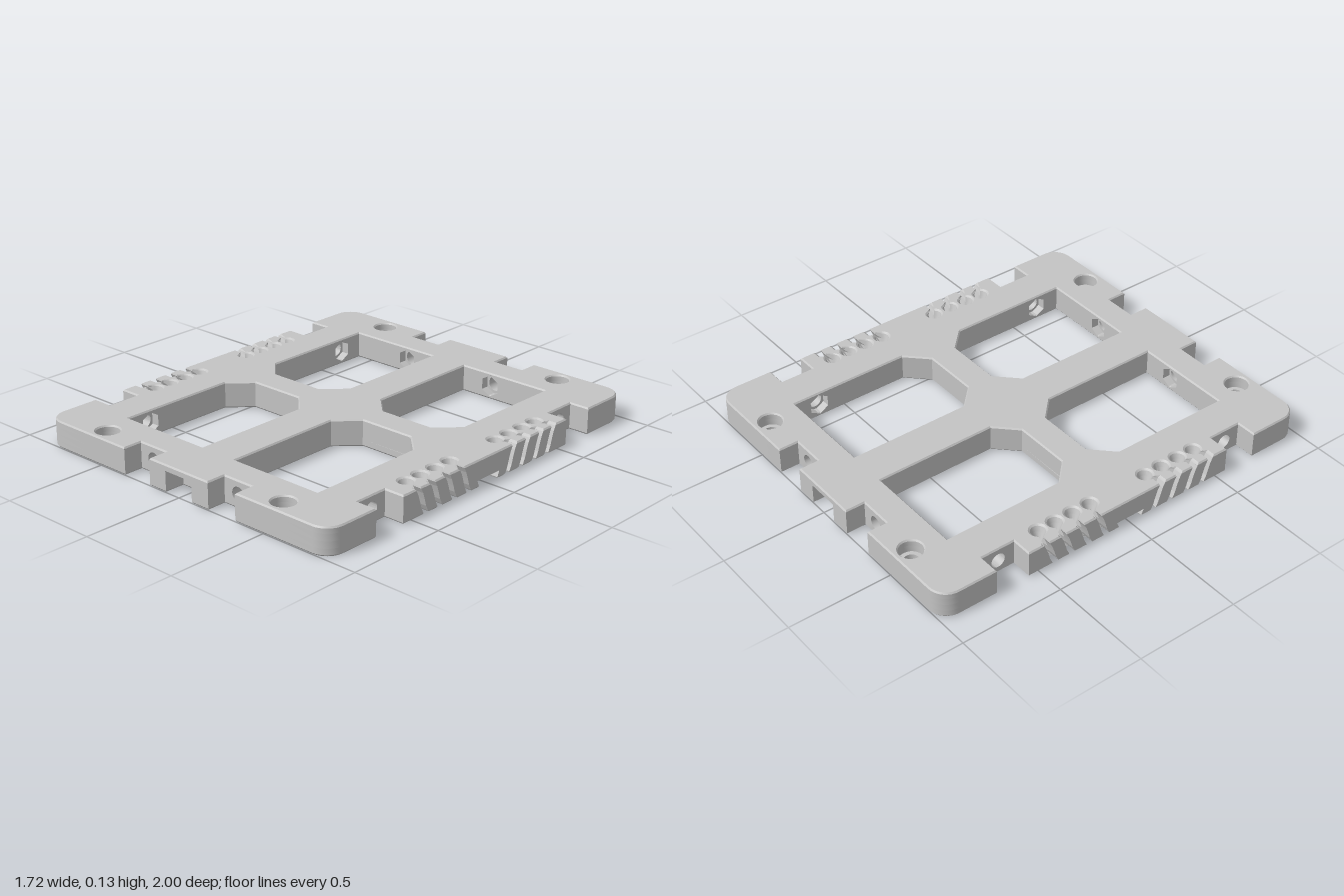
import * as THREE from 'three';
import { toCreasedNormals } from 'three/addons/utils/BufferGeometryUtils.js';

const H = 0.13;                                 // plate thickness
const W = 0.86;                                 // half width
const SLOT_Z = [0.435, 0.345, 0.25, 0.155];     // cable slots along each side
const WINDOW = [[0.10, 0.765], [0.58, 0.765], [0.58, 0.17], [0.48, 0.07], [0.20, 0.07], [0.10, 0.17]];
const SIGNS = [[1, 1], [1, -1], [-1, -1], [-1, 1]];

// Counter-clockwise closed path, so that every wall faces outward
function path(pts, Type = THREE.Shape) {
  const v = pts.map(([x, z]) => new THREE.Vector2(x, z));
  return new Type(THREE.ShapeUtils.isClockWise(v) ? v.reverse() : v);
}
const mirror = (pts, [sx, sz]) => pts.map(([x, z]) => [x * sx, z * sz]);
const arc = (cx, cz, r, a0, a1, n) => Array.from({ length: n + 1 }, (_, i) => {
  const a = a0 + (a1 - a0) * i / n;
  return [cx + r * Math.cos(a), cz + r * Math.sin(a)];
});

// Repeat one quadrant of an outline around both axes
const fullOutline = (q) => SIGNS.flatMap((s, i) => mirror(i % 2 ? [...q].reverse() : q, s));

// Keyhole slots, then the dovetail groove, down one side of a quadrant
function sidePoints(y) {
  const pts = SLOT_Z.flatMap((z) => [
    [W, z + 0.015], [0.815, z + 0.015],
    ...arc(0.77, z, 0.037, 0.6, 2 * Math.PI - 0.6, 16),
    [0.815, z - 0.015], [W, z - 0.015]]);
  if (y < 0.03) pts.push([W, 0.06], [0.62, 0.06]);
  return pts;
}
const frontPocket = (y) => (y < 0.09 ? [[0.08, 0.9], [0.08, 1]] : []);
const roundCorner = () => arc(W - 0.09, 0.91, 0.09, Math.PI / 2, 0, 8);

function screwHole(y, sign) {
  const r = y > 0.06 ? 0.055 : 0.035;
  return path(mirror(arc(0.54, 0.92, r, 0, Math.PI * 2, 24).slice(0, -1), sign), THREE.Path);
}
function addCentrePocket(shape, y) {
  if (y < 0.06) shape.holes.push(path([[-0.06, -0.16], [0.06, -0.16], [0.06, 0.16], [-0.06, 0.16]], THREE.Path));
}

// Whole plate, used for the top and bottom skins
function skinShape(y) {
  const shape = path(fullOutline([
    ...frontPocket(y), [0.18, 1], [0.18, 0.905], [0.34, 0.905], [0.34, 1], ...roundCorner(),
    [W, 0.72], [0.76, 0.72], [0.76, 0.555], [W, 0.555], ...sidePoints(y)]));
  for (const s of SIGNS) shape.holes.push(path(mirror(WINDOW, s), THREE.Path), screwHole(y, s));
  addCentrePocket(shape, y);
  return shape;
}

// Cross-shaped centre, without the drilled walls and the corners
function coreShape(y) {
  const shape = path(fullOutline([
    ...frontPocket(y), [0.18, 1], [0.18, 0.765], [0.10, 0.765], [0.10, 0.17], [0.20, 0.07],
    [0.48, 0.07], [0.58, 0.17], [0.58, 0.555], [W, 0.555], ...sidePoints(y)]));
  addCentrePocket(shape, y);
  return shape;
}

function cornerShape(y, sign) {
  const shape = path(mirror([[0.34, 0.765], [0.34, 1], ...roundCorner(),
    [W, 0.72], [0.58, 0.72], [0.58, 0.765]], sign));
  shape.holes.push(screwHole(y, sign));
  return shape;
}

// Slant the slots, waist their holes and undercut the dovetails by height
function shapeByHeight(geo) {
  const p = geo.attributes.position;
  for (let i = 0; i < p.count; i++) {
    const x = p.getX(i), y = p.getY(i), z = p.getZ(i);
    const ax = Math.abs(x), az = Math.abs(z);
    const t = 2 * y / H - 1;
    if (ax > 0.7 && az > 0.1 && az < 0.49) {
      if (ax < 0.811) {
        const c = SLOT_Z.reduce((a, b) => (Math.abs(b - az) < Math.abs(a - az) ? b : a));
        const s = 0.35 + 0.65 * Math.abs(t);
        p.setX(i, Math.sign(x) * (0.77 + (ax - 0.77) * s));
        p.setZ(i, Math.sign(z) * (c + (az - c) * s));
      } else p.setZ(i, Math.sign(z) * (az + 0.027 * Math.sign(t) * Math.abs(t) ** 1.4));
    } else if (ax > 0.6 && az < 0.1) p.setZ(i, z * (1 + 0.25 * Math.min(y / 0.035, 1)));
  }
  geo.computeVertexNormals();
  return toCreasedNormals(geo, 0.5);
}

export function createModel() {
  const model = new THREE.Group();
  model.name = 'mountingPlate';
  const grey = new THREE.MeshStandardMaterial({ color: 0xc4c4c4 });
  grey.name = 'grey';

  const add = (name, geo, parent = model) => {
    const mesh = new THREE.Mesh(geo, grey);
    mesh.name = name;
    parent.add(mesh);
  };
  const slab = (name, shape, y, options) => {
    const geo = new THREE.ExtrudeGeometry(shape, { bevelEnabled: false, ...options });
    geo.rotateX(-Math.PI / 2);
    geo.computeBoundingBox();
    geo.translate(0, y - geo.boundingBox.min.y, 0);
    add(name, shapeByHeight(geo));
  };

  // Skins with chamfered edges; their inner halves sit inside the layers
  const chamfer = { depth: 0.002, bevelEnabled: true, bevelThickness: 0.007,
    bevelSize: 0.006, bevelOffset: -0.006, bevelSegments: 1 };
  slab('bottomSkin', skinShape(0), 0, chamfer);
  slab('topSkin', skinShape(H), H - 0.016, chamfer);

  // Middle layers, stepped for the pockets and counterbores
  const levels = [0.008, 0.035, 0.0675, 0.1, 0.122];
  for (let i = 0; i < levels.length - 1; i++) {
    const y = levels[i], depth = levels[i + 1] - y;
    slab('coreLayer', coreShape(y), y, { depth });
    for (const s of SIGNS) slab('cornerLayer', cornerShape(y, s), y, { depth });
  }

  // Drilled walls behind the edge notches, with a hexagonal nut recess inside
  function drilledWall(width, length, x, z, angle) {
    const wall = new THREE.Group();
    wall.name = 'drilledWall';
    const w = width / 2, h = 0.057, recess = 0.04;
    const part = (name, hole, from, depth) => {
      const shape = path([[-w, -h], [w, -h], [w, h], [-w, h]]);
      shape.holes.push(path(hole, THREE.Path));
      const geo = new THREE.ExtrudeGeometry(shape, { depth, bevelEnabled: false });
      geo.translate(0, 0, from);
      add(name, toCreasedNormals(geo, 0.5), wall);
    };
    part('nutRecess', arc(0, 0, 0.053, Math.PI / 6, Math.PI * 13 / 6, 6).slice(0, -1), 0, recess);
    part('boltHole', arc(0, 0, 0.035, 0, Math.PI * 2, 24).slice(0, -1), recess, length - recess);
    wall.position.set(x, H / 2, z);
    wall.rotation.y = angle;
    model.add(wall);
  }
  for (const [sx, sz] of SIGNS) {
    drilledWall(0.16, 0.14, 0.26 * sx, 0.765 * sz, sz > 0 ? 0 : Math.PI);
    drilledWall(0.165, 0.18, 0.58 * sx, 0.6375 * sz, sx * Math.PI / 2);
  }
  return model;
}
